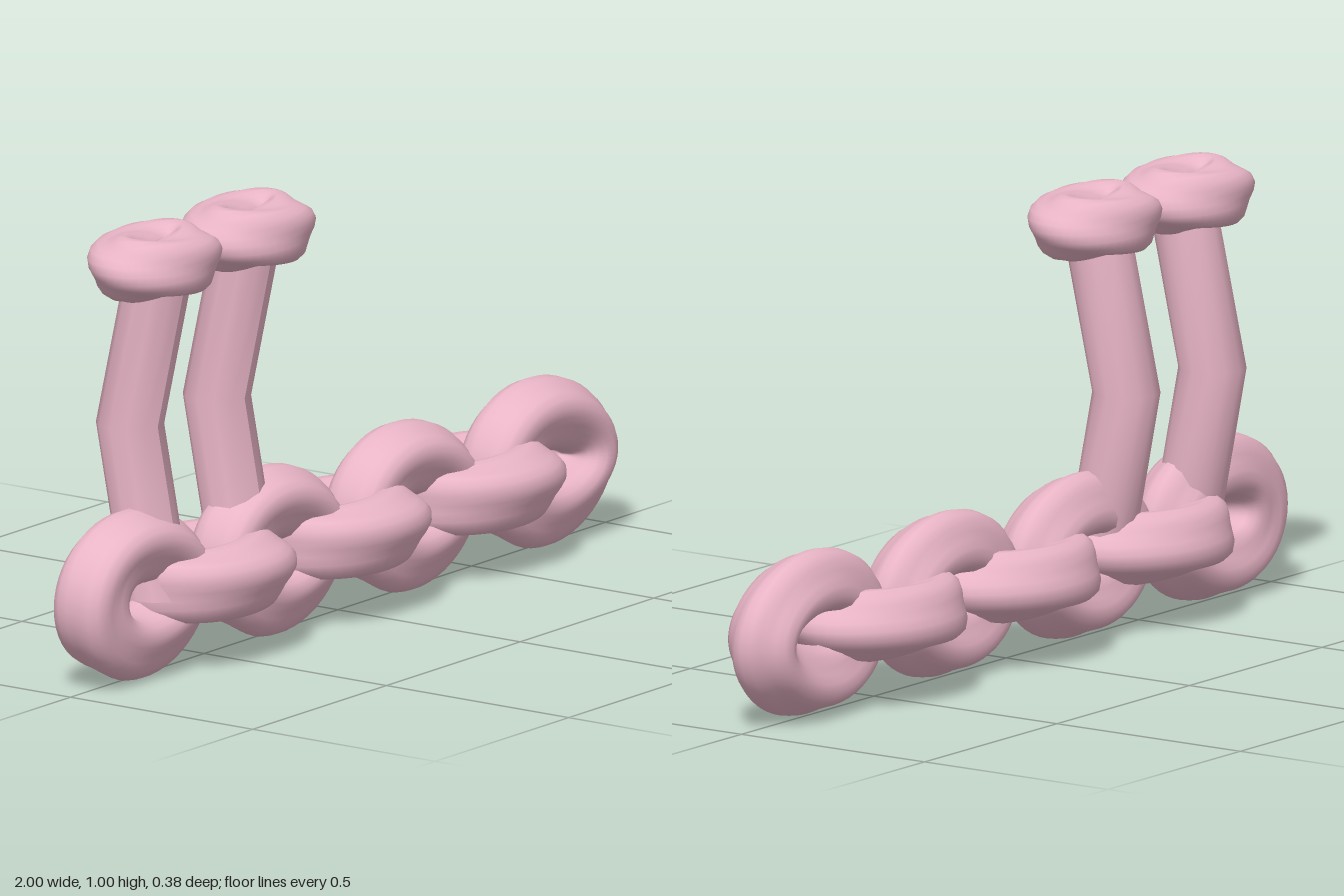
import * as THREE from 'three';
import { mergeVertices } from 'three/addons/utils/BufferGeometryUtils.js';

const material = new THREE.MeshStandardMaterial({ color: 0xe8b4c6 });

// Oval ring in the xy plane whose rounded-square section twists by k quarter turns
function twistedRing(a, b, r, k, egg) {
  const geo = new THREE.TorusGeometry(1, 0.1, 24, 48);
  const { position, uv } = geo.attributes;
  for (let i = 0; i < position.count; i++) {
    const t = uv.getX(i) * Math.PI * 2;
    const v = uv.getY(i) * Math.PI * 2;
    const s = r * (1 + 0.1 * Math.cos(4 * v + k * t));
    const out = s * Math.cos(v);
    position.setXYZ(
      i,
      (a + out) * Math.cos(t),
      (b * (1 - egg * Math.cos(t)) + out) * Math.sin(t),
      s * Math.sin(v)
    );
  }
  geo.deleteAttribute('uv');
  geo.deleteAttribute('normal');
  const welded = mergeVertices(geo, 1e-5);
  welded.computeVertexNormals();
  return welded;
}

// Upright post with a backward kink at mid height and a slight sideways lean
function bentPost() {
  const geo = new THREE.CylinderGeometry(0.076, 0.076, 0.76, 12, 2);
  const p = geo.attributes.position;
  for (let i = 0; i < p.count; i++) {
    const y = p.getY(i);
    p.setX(i, p.getX(i) + 0.02 * y);
    p.setZ(i, p.getZ(i) - 0.075 + 0.08 * Math.abs(y) / 0.38);
  }
  geo.computeVertexNormals();
  return geo;
}

export function createModel() {
  const group = new THREE.Group();
  const add = (name, geo, x, y, z = 0) => {
    const mesh = new THREE.Mesh(geo, material);
    mesh.name = name;
    mesh.position.set(x, y, z);
    group.add(mesh);
    return mesh;
  };

  // Chain of seven links, alternately upright and lying flat
  const link = twistedRing(0.165, 0.108, 0.077, 1, 0.1);
  for (let i = 0; i < 7; i++) {
    const flat = i % 2 === 1;
    const mesh = add(flat ? 'flatLink' : 'uprightLink', link, (i - 3) * 0.252, 0.188);
    if (flat) mesh.rotation.x = Math.PI / 2;
  }

  // Two posts, each topped by a small flat ring
  const post = bentPost();
  const ring = twistedRing(0.102, 0.066, 0.067, 2, 0);
  [[-0.675, -0.685], [-0.35, -0.335]].forEach(([postX, ringX]) => {
    add('post', post, postX, 0.55);
    add('topRing', ring, ringX, 0.93).rotation.x = Math.PI / 2;
  });

  return group;
}
